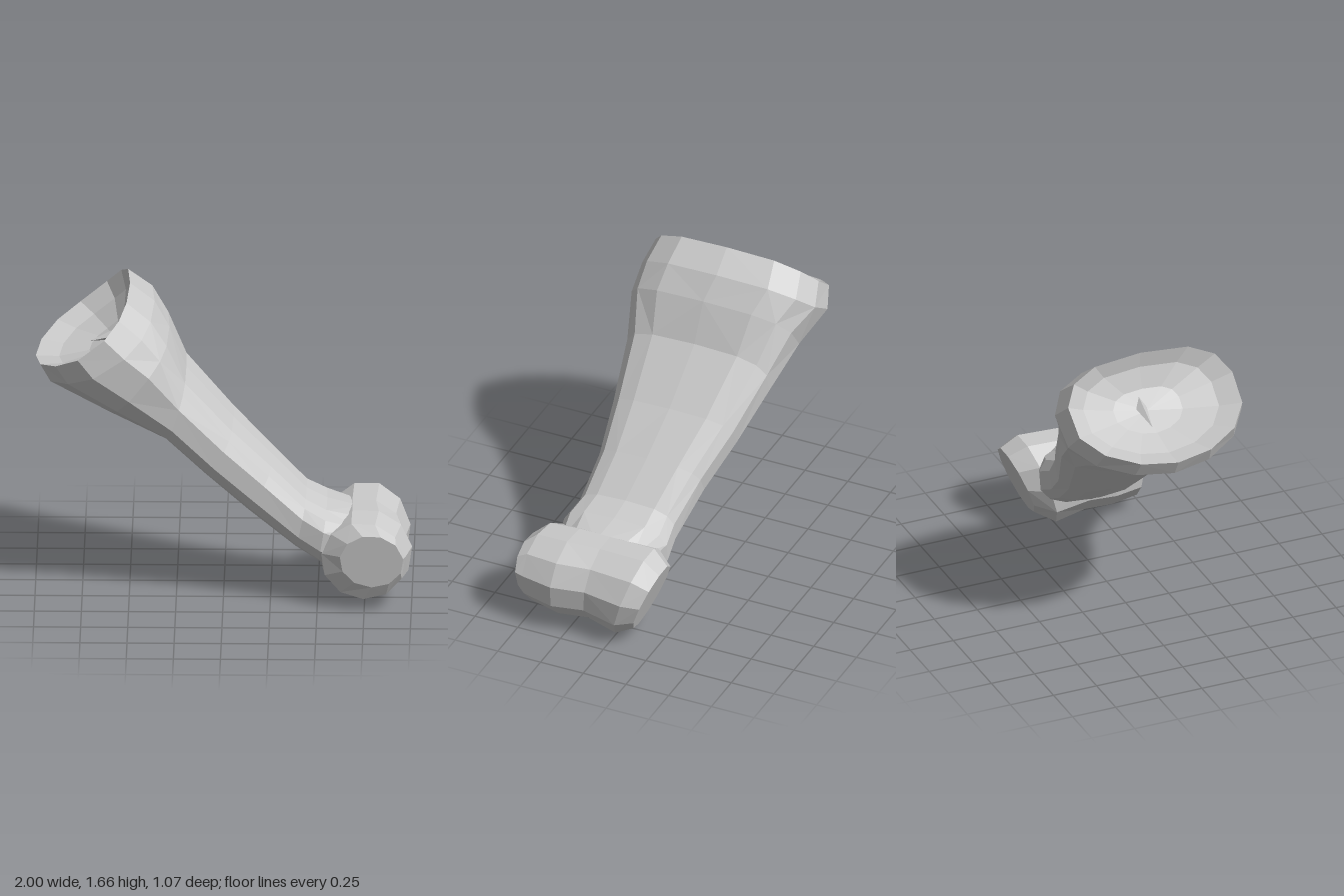
import * as THREE from 'three';

const material = new THREE.MeshStandardMaterial({ color: 0xcccccc, flatShading: true });

// Skins a list of equal-length rings and closes both ends with a fan.
function loft(rings, startPoint) {
  const n = rings[0].length;
  const pos = [], index = [];
  const centre = (ring) => ring.reduce((s, p) => s.add(p), new THREE.Vector3()).divideScalar(n);
  rings.forEach((ring) => ring.forEach((p) => pos.push(p.x, p.y, p.z)));
  const first = rings.length * n, last = first + 1;
  const a = startPoint || centre(rings[0]);
  const b = centre(rings[rings.length - 1]);
  pos.push(a.x, a.y, a.z, b.x, b.y, b.z);
  for (let j = 0; j < n; j++) {
    const k = (j + 1) % n, e = first - n;
    index.push(first, k, j, last, e + j, e + k);
    for (let i = 0; i < rings.length - 1; i++) {
      const r = i * n, s = r + n;
      // alternate the diagonals for an irregular faceted look
      if ((i + j) % 2) index.push(r + j, r + k, s + j, r + k, s + k, s + j);
      else index.push(r + j, r + k, s + k, r + j, s + k, s + j);
    }
  }
  // make the faces point outwards
  const at = (i) => new THREE.Vector3().fromArray(pos, i * 3);
  let volume = 0;
  for (let i = 0; i < index.length; i += 3)
    volume += at(index[i]).dot(at(index[i + 1]).cross(at(index[i + 2])));
  if (volume < 0)
    for (let i = 0; i < index.length; i += 3) [index[i], index[i + 1]] = [index[i + 1], index[i]];
  const g = new THREE.BufferGeometry();
  g.setAttribute('position', new THREE.Float32BufferAttribute(pos, 3));
  g.setIndex(index);
  g.computeVertexNormals();
  return g;
}

const power = (v, e) => Math.sign(v) * Math.pow(Math.abs(v), e);
const AXIS = new THREE.Vector3(0.78, -0.62, 0);

// Rounded section between a lower and an upper point, spanning zMin to zMax,
// with its own roundness for the upper and lower half.
// sag pushes the front and back of the section along the shaft.
function section([lx, ly, ux, uy, zMin, zMax, upper, lower, sag]) {
  const ring = [], n = 14;
  for (let i = 0; i < n; i++) {
    const t = (i / n) * Math.PI * 2;
    const e = Math.cos(t) > 0 ? upper : lower;
    const c = power(Math.cos(t), e), s = power(Math.sin(t), e);
    const p = new THREE.Vector3(
      (lx + ux) / 2 + ((ux - lx) / 2) * c,
      (ly + uy) / 2 + ((uy - ly) / 2) * c,
      (zMin + zMax) / 2 + ((zMax - zMin) / 2) * s
    );
    ring.push(p.addScaledVector(AXIS, sag * s ** 4));
  }
  return ring;
}

// Ring across the knuckle; slope leans it so its top reaches further back,
// tilt brings its outer side further forward.
function knuckleRing([z, x, y, rx, ry, slope, tilt]) {
  const ring = [], n = 11;
  for (let i = 0; i < n; i++) {
    const t = ((i + 0.25) / n) * Math.PI * 2;
    const dx = rx * Math.cos(t), dy = ry * Math.sin(t);
    ring.push(new THREE.Vector3(x + dx, y + dy, z - slope * dy + tilt * dx));
  }
  return ring;
}

export function createModel() {
  const group = new THREE.Group();
  const add = (name, geometry) => {
    const mesh = new THREE.Mesh(geometry, material);
    mesh.name = name;
    group.add(mesh);
    return mesh;
  };

  // flared shaft: lower x, y, upper x, y, back z, front z, roundness up, down, sag
  const outer = [
    [-1.0, 1.25, -0.5, 1.66, -0.51, 0.46, 0.7, 1.05, 0.045],
    [-0.95, 1.16, -0.37, 1.56, -0.54, 0.49, 0.68, 1.05, 0.045],
    [-0.62, 1.01, -0.29, 1.43, -0.46, 0.49, 0.65, 0.9, 0],
    [-0.31, 0.86, -0.2, 1.21, -0.39, 0.44, 0.62, 0.85, 0],
    [-0.1, 0.67, 0.05, 0.94, -0.3, 0.41, 0.62, 0.8, 0],
    [0.12, 0.48, 0.26, 0.74, -0.21, 0.39, 0.62, 0.8, 0],
    [0.38, 0.28, 0.44, 0.57, -0.15, 0.41, 0.62, 0.8, 0],
    [0.5, 0.21, 0.55, 0.52, -0.16, 0.45, 0.65, 0.8, 0],
    [0.66, 0.09, 0.74, 0.48, -0.08, 0.42, 0.75, 0.9, 0],
  ].map(section);

  // hollow socket sunk into the flared end
  const rim = outer[0];
  const middle = new THREE.Vector3(-0.72, 1.46, -0.02);
  const sunk = (scale, depth) =>
    rim.map((p) => p.clone().sub(middle).multiplyScalar(scale).add(middle).addScaledVector(AXIS, depth));
  const floor = middle.clone().addScaledVector(AXIS, 0.18);
  add('shaftWithSocket', loft([sunk(0.4, 0.15), sunk(0.78, 0.08), ...outer], floor));

  // small pointed ridge on the socket floor
  const ridge = add('socketRidge', new THREE.ConeGeometry(0.04, 0.2, 4));
  ridge.position.set(-0.62, 1.35, -0.05);
  ridge.rotation.z = 1.85;

  // grooved knuckle: z, centre x, y, radius x, y, slope, tilt
  add('knuckle', loft([
    [0.52, 0.79, 0.29, 0.17, 0.15, -0.1, 0.08],
    [0.465, 0.745, 0.275, 0.225, 0.215, 0, 0.12],
    [0.3, 0.755, 0.27, 0.25, 0.235, 0.05, 0.05],
    [0.13, 0.745, 0.27, 0.225, 0.23, 0.1, 0],
    [-0.08, 0.755, 0.25, 0.235, 0.255, 0.3, 0],
    [-0.18, 0.78, 0.25, 0.18, 0.19, 0.38, 0],
  ].map(knuckleRing)));

  return group;
}
